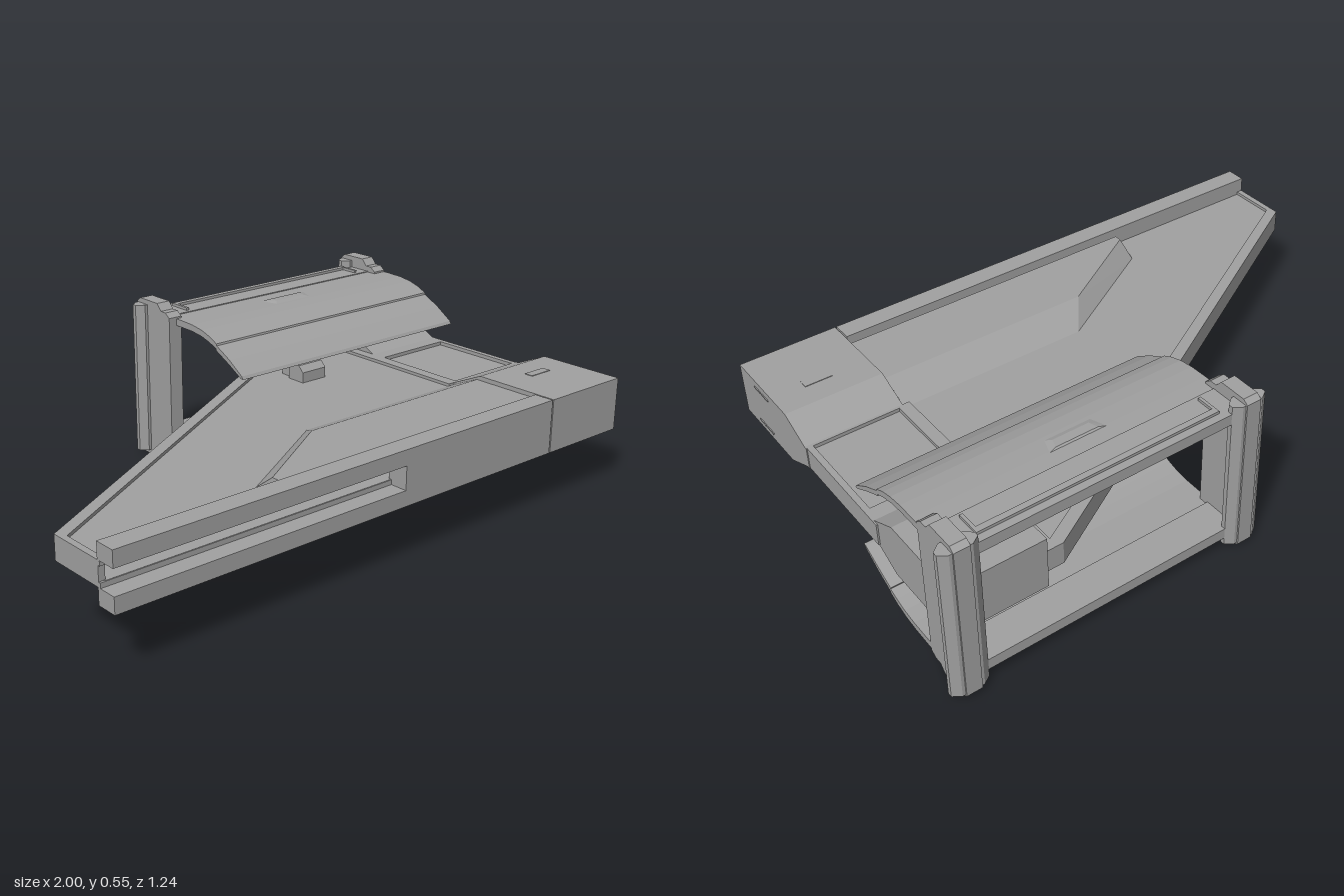
import * as THREE from 'three';
import { ConvexGeometry } from 'three/addons/geometries/ConvexGeometry.js';

const MID = 0.2775; // horizontal plane of symmetry

export function createModel() {
  const model = new THREE.Group();
  const grey = new THREE.MeshStandardMaterial({ color: 0xa0a0a0 });

  const add = (name, geometry) => {
    const mesh = new THREE.Mesh(geometry, grey);
    mesh.name = name;
    model.add(mesh);
    return mesh;
  };
  const flipY = (y, s) => MID + s * (y - MID);
  const box = (name, x0, x1, y0, y1, z0, z1) =>
    add(name, new THREE.BoxGeometry(x1 - x0, Math.abs(y1 - y0), z1 - z0))
      .position.set((x0 + x1) / 2, (y0 + y1) / 2, (z0 + z1) / 2);
  const extrude = (points, depth) => new THREE.ExtrudeGeometry(
    new THREE.Shape(points.map(([a, b]) => new THREE.Vector2(a, b))), { depth, bevelEnabled: false });
  // side profile of [z, y] points, swept along x
  const side = (name, points, x0, x1, s = 1) =>
    add(name, extrude(points.map(([z, y]) => [-z, flipY(y, s)]), x1 - x0).rotateY(Math.PI / 2).translate(x0, 0, 0));
  // plan outline of [x, z] points, raised along y
  const plan = (name, points, y0, y1) =>
    add(name, extrude(points.map(([x, z]) => [x, -z]), y1 - y0).rotateX(-Math.PI / 2).translate(0, y0, 0));

  // Wing frame, open towards the front rail
  plan('wingRim', [[-1, 0.555], [-1, 0.36], [0.6, -0.56], [0.66, -0.56], [0.66, 0.21], [0.62, 0.21],
    [0.62, -0.525], [-0.98, 0.39], [-0.98, 0.555]], 0.24, 0.315);
  const skin = [[-0.985, 0.56], [-0.985, 0.385], [0.6, -0.53], [0.64, -0.53], [0.64, 0.56]];

  for (const s of [1, -1]) {
    const part = s > 0 ? 'upper' : 'lower';
    const y = (v) => flipY(v, s);

    // Wing skin and slotted front rail
    plan(part + 'WingSkin', skin, Math.min(y(0.299), y(0.305)), Math.max(y(0.299), y(0.305)));
    side(part + 'FrontRail', [[0.62, 0.315], [0.62, 0.365], [0.552, 0.365], [0.552, 0.3], [0.562, 0.3], [0.562, 0.315]],
      -1, 0.638, s);

    // Raised panel with sloping rear edges
    const foot = [[-0.405, 0.44], [0, 0.2], [0.64, 0.2], [0.64, 0.53], [-0.405, 0.53]];
    const crest = [[-0.4, 0.505], [-0.08, 0.31], [0.64, 0.31], [0.64, 0.53], [-0.4, 0.53]];
    add(part + 'RaisedPanel', new ConvexGeometry([
      ...foot.map(([x, z]) => new THREE.Vector3(x, y(0.303), z)),
      ...crest.map(([x, z]) => new THREE.Vector3(x, y(0.352), z))]));

    // Curved shell in two overlapping sections
    side(part + 'Shell', [[-0.23, 0.452], [-0.235, 0.472], [-0.27, 0.488], [-0.31, 0.5], [-0.36, 0.507], [-0.42, 0.509],
      [-0.49, 0.509], [-0.49, 0.486], [-0.42, 0.486], [-0.36, 0.485], [-0.31, 0.479], [-0.27, 0.468]], 0, 0.965, s);
    side(part + 'ShellLip', [[-0.102, 0.384], [-0.108, 0.394], [-0.17, 0.434], [-0.234, 0.466], [-0.238, 0.45],
      [-0.17, 0.417], [-0.112, 0.385]], 0, 0.965, s);

    // Dished grip on the shell
    add(part + 'ShellGrip', new ConvexGeometry([
      ...[[0.34, -0.43], [0.56, -0.43], [0.53, -0.37], [0.37, -0.37]].map(([x, z]) => new THREE.Vector3(x, y(0.506), z)),
      ...[[0.38, -0.42], [0.52, -0.42], [0.51, -0.39], [0.39, -0.39]].map(([x, z]) => new THREE.Vector3(x, y(0.513), z))]));

    // Cross bar holding the shell between the posts
    box(part + 'CrossBar', 0, 0.95, y(0.475), y(0.512), -0.6, -0.48);
    box(part + 'CrossBarRidge', 0.08, 0.87, y(0.512), y(0.521), -0.575, -0.555);
    for (const x of [0.08, 0.86]) box(part + 'CrossBarStop', x, x + 0.01, y(0.512), y(0.521), -0.56, -0.495);

    // Shallow slot covers on the end block
    for (const z of [0.455, 0.505]) box(part + 'BlockSlot', 0.967, 0.971, y(0.338), y(0.343), z - 0.02, z + 0.02);
    box(part + 'BlockTab', 0.77, 0.86, y(0.364), y(0.367), 0.4, 0.43);
  }
  box('frontRailFill', 0, 0.638, 0.235, 0.32, 0.552, 0.62);

  // End block, thin arm and rear mount
  side('endBlock', [[0.62, 0.19], [0.62, 0.365], [0.32, 0.365], [0.21, 0.315], [0.2, 0.315], [0.2, 0.24], [0.21, 0.24],
    [0.32, 0.19]], 0.643, 0.968);
  box('armWeb', 0.65, 0.955, 0.252, 0.303, -0.2, 0.21);
  box('armOuterRim', 0.945, 0.965, 0.24, 0.315, -0.2, 0.21);
  side('rearMount', [[-0.13, 0.24], [-0.13, 0.315], [-0.18, 0.315], [-0.28, 0.365], [-0.565, 0.365], [-0.565, 0.19],
    [-0.28, 0.19], [-0.18, 0.24]], 0.655, 0.96);

  // Clip standing through the wing
  side('clip', [[-0.15, 0.195], [-0.13, 0.215], [-0.13, 0.34], [-0.15, 0.36], [-0.2, 0.36], [-0.2, 0.195]], 0.28, 0.38);
  box('clipBack', 0.295, 0.365, 0.2, 0.355, -0.25, -0.2);

  // Two upright posts: a chamfered web with a faceted outer band
  for (const x of [-0.005, 0.94]) {
    side('postWeb', [[-0.445, 0.04], [-0.445, 0.515], [-0.465, 0.53], [-0.49, 0.53], [-0.51, 0.553], [-0.605, 0.553],
      [-0.622, 0.54], [-0.622, 0.015], [-0.605, 0.002], [-0.51, 0.002], [-0.49, 0.025], [-0.465, 0.025]],
      x - 0.025, x + 0.025);
    plan('postBand', [[x - 0.06, -0.6], [x - 0.06, -0.585], [x - 0.035, -0.565], [x + 0.035, -0.565], [x + 0.06, -0.585],
      [x + 0.06, -0.6], [x + 0.035, -0.617], [x - 0.035, -0.617]], 0.018, 0.537);
    for (const s of [1, -1])
      box('postClamp', x - 0.025, x + 0.025, flipY(0.475, s), flipY(0.522, s), -0.57, -0.475);
  }
  return model;
}
